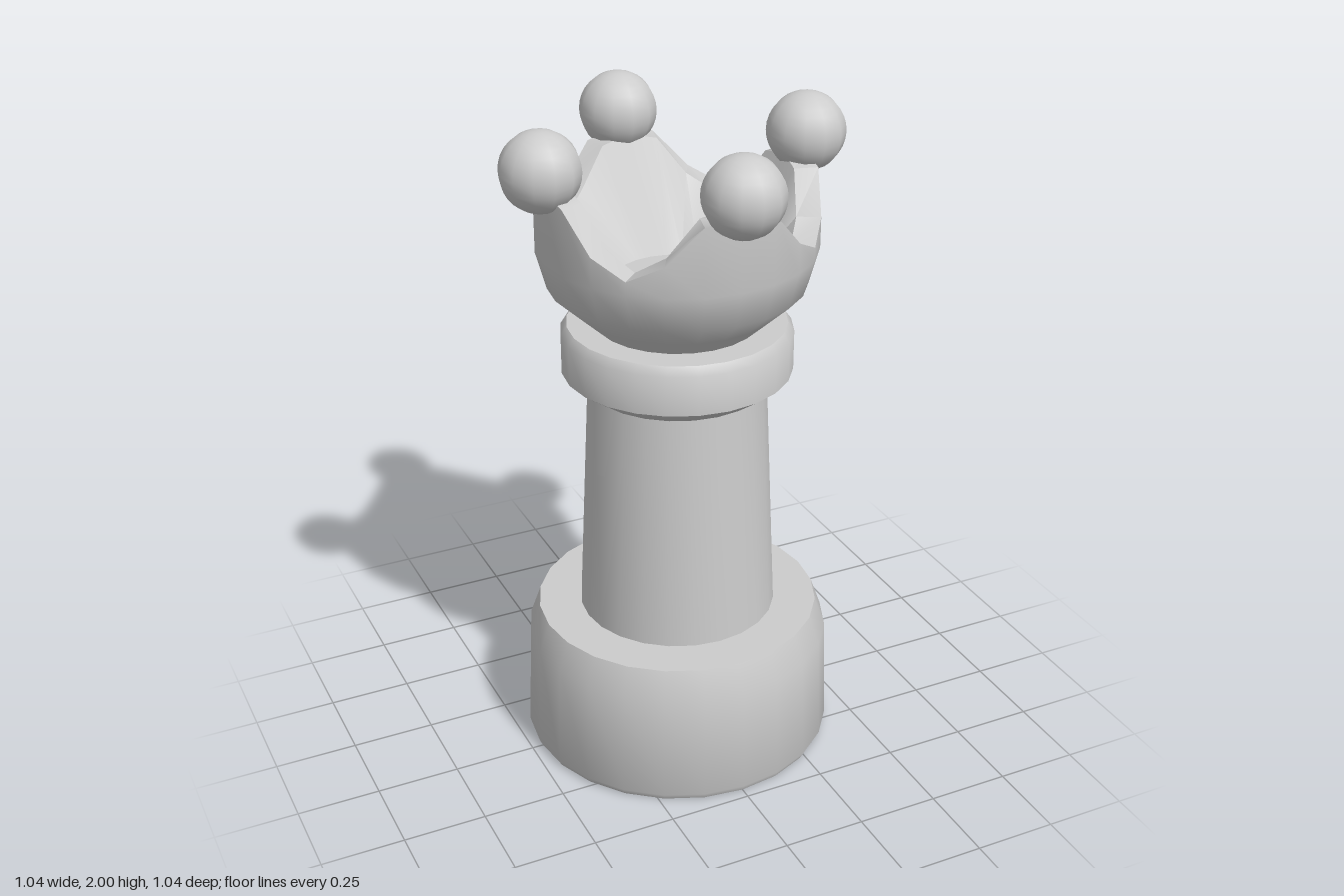
import * as THREE from 'three';
import { toCreasedNormals } from 'three/addons/utils/BufferGeometryUtils.js';

const SEGMENTS = 24;
const CREASE = 0.7;

export function createModel() {
  const group = new THREE.Group();
  group.name = 'chessQueen';
  const stone = new THREE.MeshStandardMaterial({ color: 0xcccccc });
  stone.name = 'light grey';

  function add(name, geometry) {
    const mesh = new THREE.Mesh(geometry, stone);
    mesh.name = name;
    group.add(mesh);
    return mesh;
  }

  // Turned part from [radius, height] pairs, listed bottom to top
  function turned(name, profile) {
    const points = profile.map(([r, y]) => new THREE.Vector2(r, y));
    add(name, toCreasedNormals(new THREE.LatheGeometry(points, SEGMENTS), CREASE));
  }

  turned('base', [[0, 0], [0.465, 0], [0.475, 0.02], [0.462, 0.35], [0.43, 0.44], [0, 0.44]]);
  turned('shaft', [[0.3, 0.44], [0.265, 1.18]]);
  turned('collar', [[0, 1.18], [0.27, 1.18], [0.34, 1.23], [0.34, 1.35], [0.322, 1.375], [0, 1.375]]);

  // Crown: a hollow bowl whose rim rises to four points
  const rimHeights = [1.83, 1.81, 1.7, 1.65, 1.7, 1.81];
  const section = (rim) => [
    [0.235, 1.37], [0.3, 1.43], [0.375, 1.5], [0.405, 1.61], [0.405, rim],
    [0.335, rim], [0.185, 1.5], [0, 1.5],
  ];
  const rows = section(0).length;
  const positions = [];
  const indices = [];
  for (let i = 0; i < SEGMENTS; i++) {
    const angle = (i / SEGMENTS) * Math.PI * 2;
    for (const [r, y] of section(rimHeights[i % rimHeights.length])) {
      positions.push(Math.sin(angle) * r, y, Math.cos(angle) * r);
    }
    const next = (i + 1) % SEGMENTS;
    for (let j = 0; j < rows - 1; j++) {
      const a = i * rows + j;
      const b = next * rows + j;
      indices.push(a, b, a + 1);
      if (j < rows - 2) indices.push(b, b + 1, a + 1);
    }
  }
  const crown = new THREE.BufferGeometry();
  crown.setAttribute('position', new THREE.Float32BufferAttribute(positions, 3));
  crown.setIndex(indices);
  add('crown', toCreasedNormals(crown, CREASE));

  // One ball on each crown point
  const ball = new THREE.SphereGeometry(0.115, 12, 16);
  for (let i = 0; i < 4; i++) {
    const angle = (i * Math.PI) / 2;
    add('crownBall', ball).position.set(Math.sin(angle) * 0.407, 1.885, Math.cos(angle) * 0.407);
  }

  return group;
}
